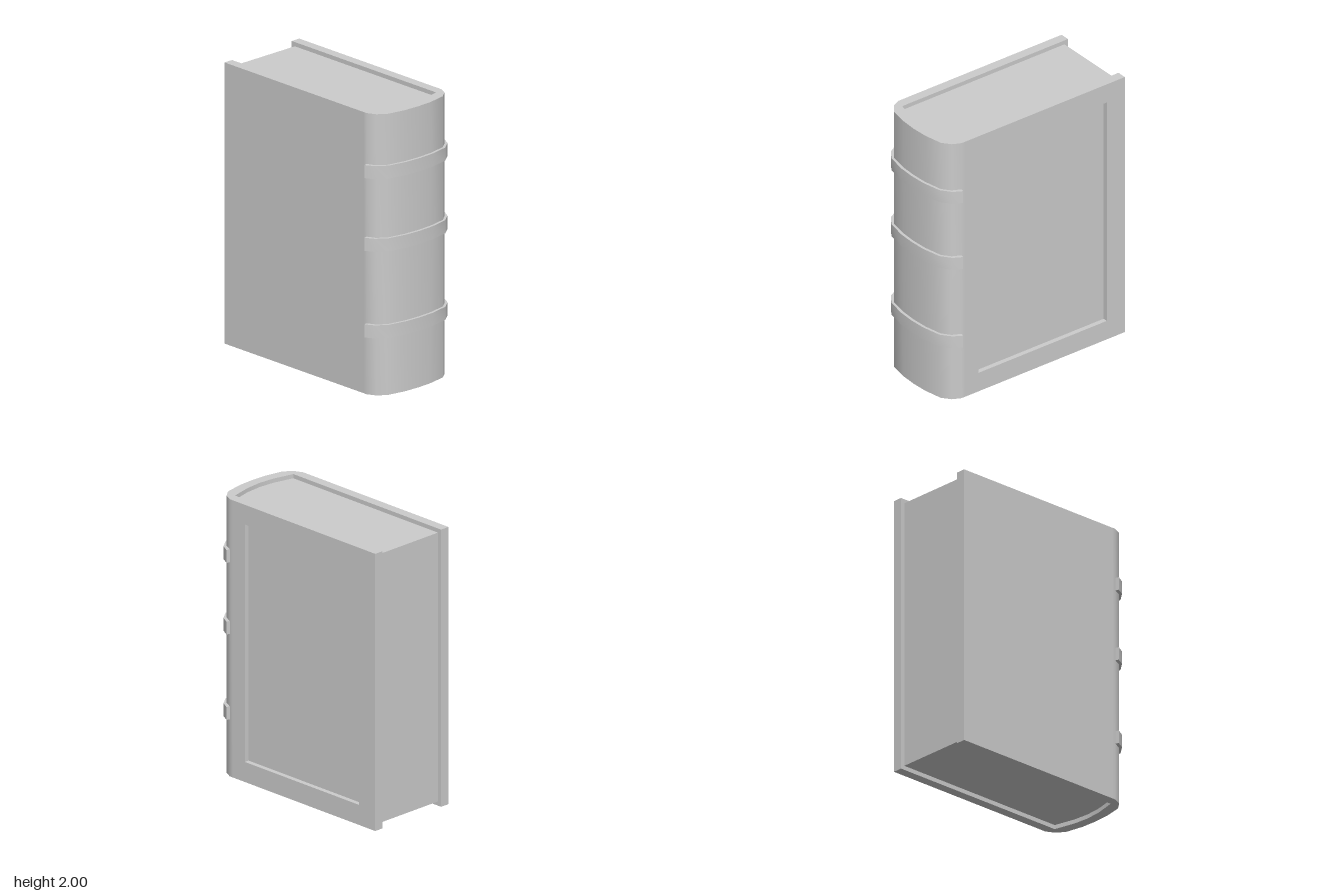
import * as THREE from 'three';
import { toCreasedNormals } from 'three/addons/utils/BufferGeometryUtils.js';

const HEIGHT = 2, BACK = -0.775, OUT = 0.345, IN = 0.275, RECESS = 0.035;
const material = new THREE.MeshStandardMaterial({ color: 0xcccccc });

// Right half of each spine curve as [x, z], from the side to the middle
const spineOuter = [[OUT, 0.61], [0.315, 0.672], [0.255, 0.718], [0.12, 0.744], [0, 0.75]];
const spineInner = [[IN, 0.632], [0.12, 0.668], [0, 0.678]];
const bandOuter = [[0.37, 0.617], [0.335, 0.68], [0.262, 0.735], [0.12, 0.764], [0, 0.77]];

// Mirrors a half curve into a full one running from +x to -x
const mirror = (half) => [...half, ...half.slice(0, -1).reverse().map(([x, z]) => [-x, z])];
const shapeOf = (points) => new THREE.Shape(points.map(([x, y]) => new THREE.Vector2(x, y)));

// Extrudes an x-z outline upwards from y0 to y1
function prism(name, points, y0, y1) {
  const geo = new THREE.ExtrudeGeometry(shapeOf(points), { depth: y1 - y0, bevelEnabled: false });
  geo.rotateX(Math.PI / 2).translate(0, y1, 0);
  const mesh = new THREE.Mesh(toCreasedNormals(geo, 0.62), material);
  mesh.name = name;
  return mesh;
}

export function createModel() {
  const book = new THREE.Group();
  book.name = 'book';

  // Wrap-around cover; its left board is thinner where the frame sits on it
  const seam = 0.58, floor = OUT - RECESS;
  book.add(prism('cover', [
    [floor, BACK], [floor, seam], [OUT, seam],
    ...mirror(spineOuter),
    [-OUT, seam], [-OUT, BACK], [-IN, BACK],
    ...mirror(spineInner).reverse(),
    [IN, BACK],
  ], 0, HEIGHT));

  // Raised frame around the sunken panel of the left board
  const frame = shapeOf([[-seam, 0], [-BACK, 0], [-BACK, HEIGHT], [-seam, HEIGHT]]);
  frame.holes.push(shapeOf([[-0.467, 0.145], [-0.467, 1.858], [0.622, 1.858], [0.622, 0.145]]));
  const frameGeo = new THREE.ExtrudeGeometry(frame, { depth: RECESS, bevelEnabled: false });
  frameGeo.rotateY(Math.PI / 2).translate(floor, 0, 0);
  const frameMesh = new THREE.Mesh(frameGeo, material);
  frameMesh.name = 'coverFrame';
  book.add(frameMesh);

  // Page block, set in from the cover edges
  book.add(prism('pages', [[IN, -0.745], ...mirror(spineInner), [-IN, -0.745]], 0.03, HEIGHT - 0.03));

  // Raised bands across the spine
  for (const y of [0.412, 1.028, 1.545]) {
    book.add(prism('spineBand', [...mirror(bandOuter), ...mirror(spineOuter).reverse()], y, y + 0.093));
  }
  return book;
}
